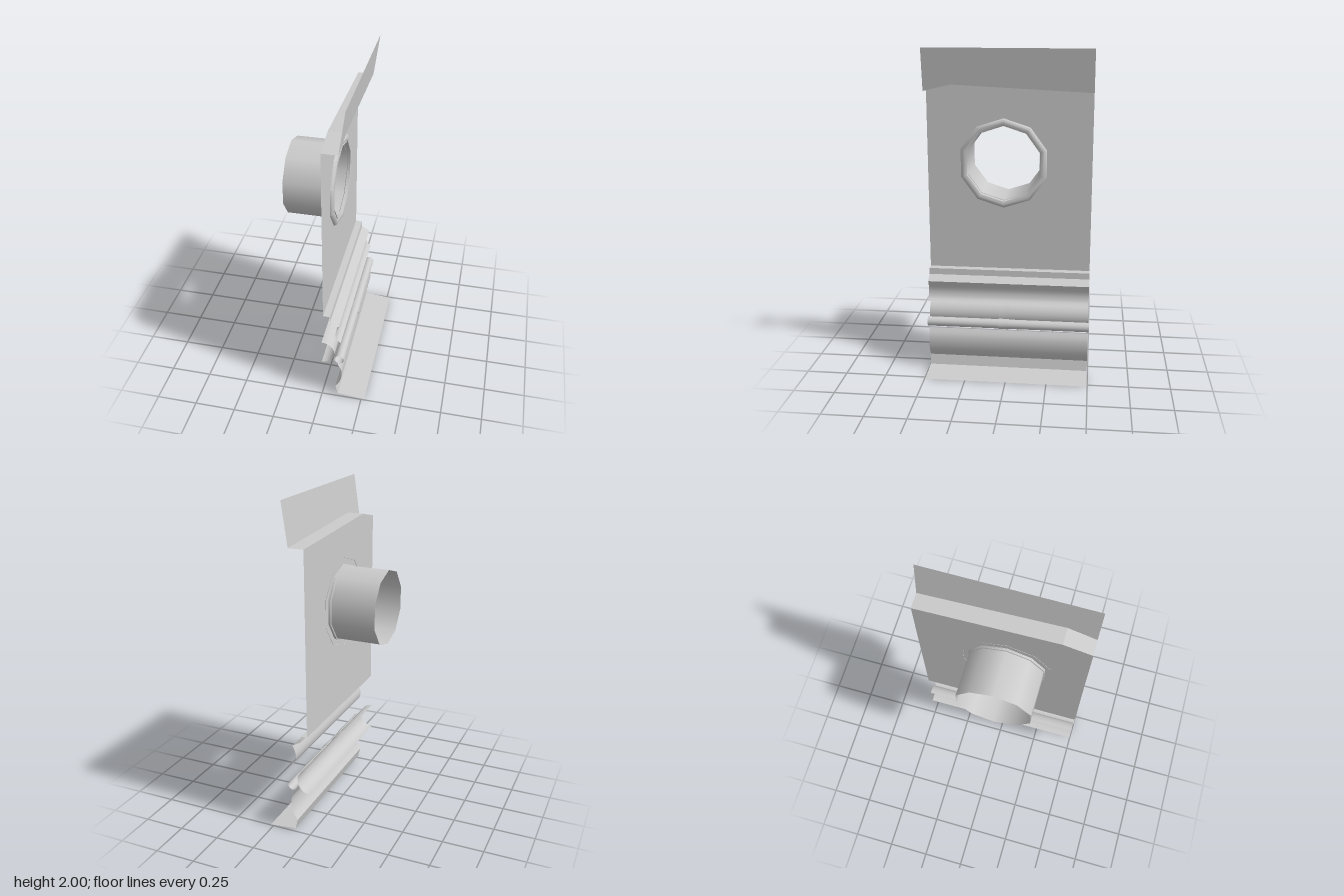
import * as THREE from 'three';
import { toCreasedNormals } from 'three/addons/utils/BufferGeometryUtils.js';

const material = new THREE.MeshStandardMaterial({ color: 0xcccccc, side: THREE.DoubleSide });
const HALF = 0.495;                  // half width of the sheets along z
const SIDES = 10;                    // sides of the pipe opening
const HOLE = { y: 1.312, z: 0.035 };  // centre of the pipe opening

function add(group, name, geometry) {
  const mesh = new THREE.Mesh(geometry, material);
  mesh.name = name;
  group.add(mesh);
  return mesh;
}

// Thin sheet stretched between rows of [x, y, z] points, sharp only at real folds
function loft(rows, crease = 0.5) {
  const n = rows[0].length;
  const index = [];
  for (let r = 0; r < rows.length - 1; r++) {
    for (let i = 0; i < n - 1; i++) {
      const a = r * n + i, b = a + n;
      index.push(a, b, a + 1, a + 1, b, b + 1);
    }
  }
  const geometry = new THREE.BufferGeometry();
  geometry.setAttribute('position', new THREE.Float32BufferAttribute(rows.flat(2), 3));
  geometry.setIndex(index);
  geometry.computeVertexNormals();
  return toCreasedNormals(geometry, crease);
}

// Sheet with an [x, y] profile, drawn top to bottom, running along z
function sheet(profile, z0 = -HALF, z1 = HALF) {
  return loft(profile.map(([x, y]) => [[x, y, z1], [x, y, z0]]));
}

function smooth(points, steps) {
  const curve = new THREE.SplineCurve(points.map(([x, y]) => new THREE.Vector2(x, y)));
  return curve.getPoints(steps).map((p) => [p.x, p.y]);
}

function arc(cx, cy, r, from, to, steps) {
  return Array.from({ length: steps + 1 }, (_, i) => {
    const a = from + ((to - from) * i) / steps;
    return [cx + r * Math.cos(a), cy + r * Math.sin(a)];
  });
}

// Turned part on the x axis; profile is [radius, x], with a corner pointing up
function turned(profile, crease) {
  const points = profile.map(([r, x]) => new THREE.Vector2(r, -x));
  const geometry = new THREE.LatheGeometry(points, SIDES, Math.PI / 2);
  geometry.rotateZ(Math.PI / 2);
  geometry.translate(0, HOLE.y, HOLE.z);
  return crease ? toCreasedNormals(geometry, crease) : geometry;
}

export function createModel() {
  const group = new THREE.Group();
  group.name = 'wallFlashing';

  // Ridge line that sheds water to both sides: [z, y]
  const ridge = [[HALF, 1.75], [0.33, 1.79], [-HALF, 1.75]];
  const panelX = 0.012;

  // Flat main panel with the pipe opening
  const shape = new THREE.Shape();
  shape.moveTo(-HALF, 0.65);
  shape.lineTo(HALF, 0.65);
  [...ridge].reverse().forEach(([z, y]) => shape.lineTo(-z, y));
  shape.closePath();
  const hole = new THREE.Path();
  for (let i = 0; i < SIDES; i++) {
    const a = Math.PI / 2 - (i * 2 * Math.PI) / SIDES;
    const u = -HOLE.z + 0.235 * Math.cos(a), v = HOLE.y + 0.235 * Math.sin(a);
    if (i === 0) hole.moveTo(u, v);
    else hole.lineTo(u, v);
  }
  hole.closePath();
  shape.holes.push(hole);
  const panel = new THREE.ShapeGeometry(shape);
  panel.rotateY(Math.PI / 2);
  panel.translate(panelX, 0, 0);
  add(group, 'mainPanel', panel);

  // Sloped ledge and leaning upstand above the panel
  const foldX = (y) => 0.105 + (y - 1.75) * 0.14;
  const fold = ridge.map(([z, y]) => [foldX(y), y, z]);
  add(group, 'ledge', loft([fold, ridge.map(([z, y]) => [panelX, y, z])], 0.2));
  add(group, 'upstand', loft([ridge.map(([z]) => [0.14, 2, z]), fold], 0.2));

  // Pipe sleeve, collar and rounded rim
  add(group, 'pipeSleeve', turned([[0.228, 0.0], [0.228, -0.272]]));
  add(group, 'collar', turned([[0.228, 0.03], [0.228, 0.012], [0.236, 0.008], [0.236, -0.002], [0.228, -0.004]], 0.7));
  add(group, 'rim', turned([
    [0.228, 0.014], [0.232, 0.027], [0.246, 0.032], [0.26, 0.03], [0.271, 0.02], [0.273, 0.01],
  ], 0.7));

  // Stepped lip and upper cove below the panel
  add(group, 'upperCove', sheet([
    [panelX, 0.65], [0.053, 0.648], [0.055, 0.61],
    ...smooth([[0.106, 0.58], [0.092, 0.545], [0.086, 0.51], [0.095, 0.475], [0.118, 0.455]], 12),
  ]));

  // Half round middle channel
  const q = Math.PI / 2;
  add(group, 'middleChannel', sheet(arc(0, 0.355, 0.08, q, -q, 16)));

  // Lower moulding and drip flange
  add(group, 'lowerMoulding', sheet([
    ...smooth([[0.1, 0.27], [0.12, 0.23], [0.124, 0.18], [0.112, 0.125], [0.085, 0.08]], 14),
    [0.1, 0.018], [0.27, 0],
  ]));

  // Hollow rod held by a clip on the channel
  const rod = new THREE.CylinderGeometry(0.029, 0.029, 1, 20, 1, true);
  rod.rotateX(Math.PI / 2);
  add(group, 'rod', rod).position.set(0.11, 0.317, 0);

  const clip = new THREE.Group();
  clip.name = 'rodClip';
  add(clip, 'strap', sheet(arc(0, 0.355, 0.085, q, -q, 16), -0.008, 0.057));
  add(clip, 'loop', sheet(arc(0.11, 0.317, 0.032, Math.PI, -Math.PI, 20), -0.008, 0.057));
  add(clip, 'neck', sheet([[0.081, 0.33], [0.07, 0.322]], -0.008, 0.057));
  group.add(clip);

  return group;
}
